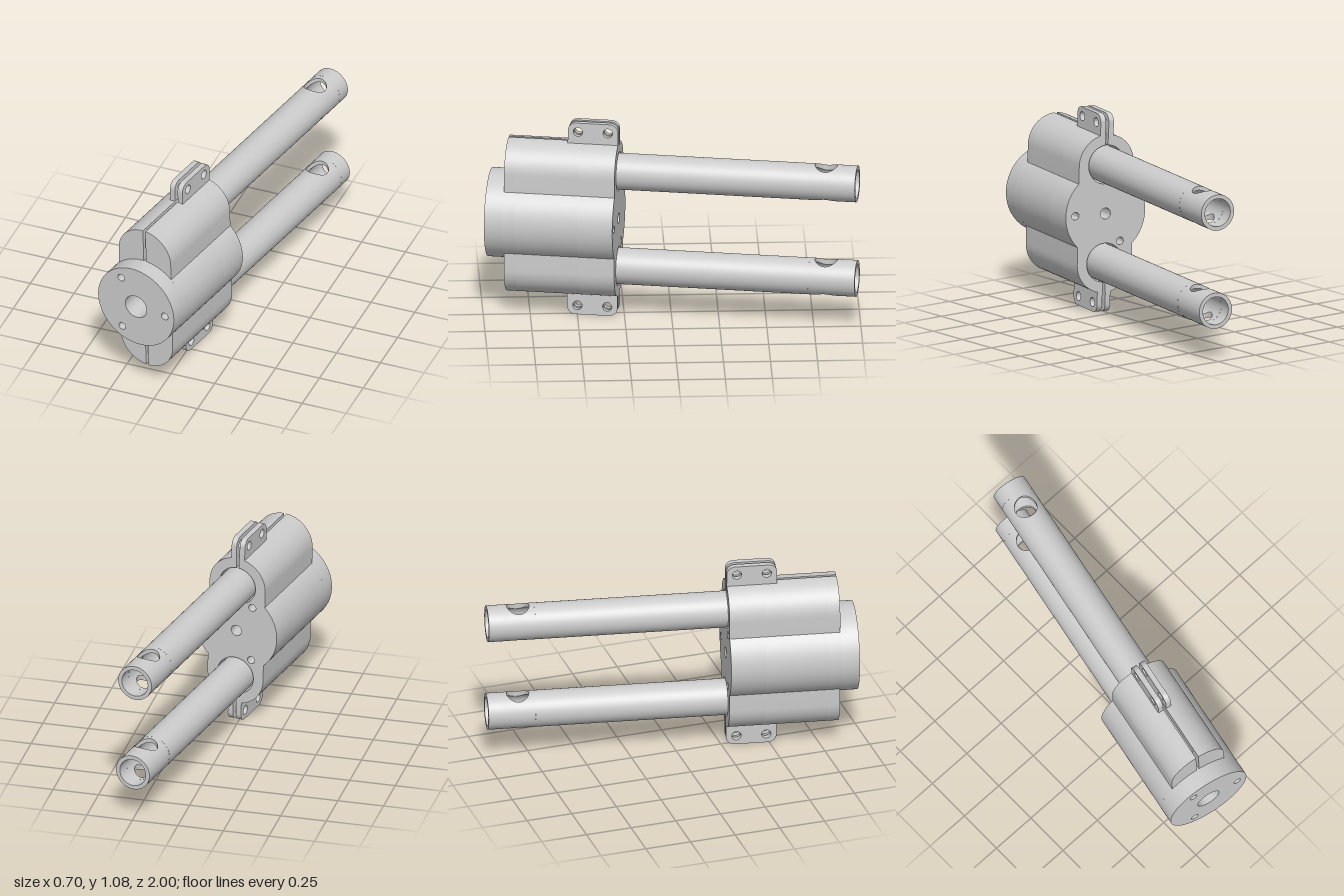
import * as THREE from 'three';
import { toCreasedNormals } from 'three/addons/utils/BufferGeometryUtils.js';
import { ParametricGeometry } from 'three/addons/geometries/ParametricGeometry.js';

const BODY_R = 0.2375, SLEEVE_R = 0.163, BORE_R = 0.106, OFFSET = 0.267, SLIT = 0.0075;
const TUBE_R = 0.098, TUBE_IN = 0.076, PIN_R = 0.06;
const Z_SLEEVE = -0.097, Z_BORE = -0.16, Z_STEP = -0.5, Z_BACK = -0.69;
const Z_PIN = -1.805, Z_END = -1.972, PIN_HALF = 0.085;

const grey = new THREE.MeshStandardMaterial({ color: 0xcccccc });
const thin = new THREE.MeshStandardMaterial({ color: 0xcccccc, side: THREE.DoubleSide });

function add(parent, name, geometry, material = grey) {
  const mesh = new THREE.Mesh(geometry, material);
  mesh.name = name;
  parent.add(mesh);
  return mesh;
}

function arc(cy, r, from, to, n) {
  return Array.from({ length: n + 1 }, (_, i) => {
    const a = from + ((to - from) * i) / n;
    return new THREE.Vector2(r * Math.cos(a), cy + r * Math.sin(a));
  });
}

function addHole(shape, x, y, r) {
  shape.holes.push(new THREE.Path().absarc(x, y, r, 0, Math.PI * 2, true));
}

// Centre hole and three screw holes
function drill(shape, centreR) {
  addHole(shape, 0, 0, centreR);
  for (let i = 0; i < 3; i++) {
    const a = (i * Math.PI * 2) / 3;
    addHole(shape, 0.18 * Math.cos(a), 0.18 * Math.sin(a), 0.021);
  }
  return shape;
}

// Round body joined to two split sleeves; the lower half is the upper one turned by 180 degrees
function housingShape(bored) {
  const b = Math.acos(SLEEVE_R / BODY_R), e = Math.asin(SLIT / SLEEVE_R), eb = Math.asin(SLIT / BORE_R);
  const q = Math.PI / 2;
  const cut = bored
    ? arc(OFFSET, BORE_R, q - eb, eb - 3 * q, 56)
    : [new THREE.Vector2(SLIT, 0.235), new THREE.Vector2(-SLIT, 0.235)];
  const half = [
    ...arc(0, BODY_R, -b, b, 20),
    ...arc(OFFSET, SLEEVE_R, 0, q - e, 18),
    ...cut,
    ...arc(OFFSET, SLEEVE_R, q + e, Math.PI, 18),
  ];
  return new THREE.Shape([...half, ...half.map((p) => p.clone().negate())]);
}

function slab(shape, zFront, zBack) {
  const g = new THREE.ExtrudeGeometry(shape, { depth: zFront - zBack, bevelEnabled: false, curveSegments: 32 });
  g.translate(0, 0, zBack);
  return toCreasedNormals(g, 0.5);
}

// Clamp ear with rounded outer corners and two bolt holes
function earGeometry() {
  const front = -0.42, top = 0.54, r = 0.045, depth = 0.03;
  const s = new THREE.Shape();
  s.moveTo(Z_BACK, 0.405);
  s.lineTo(front, 0.405);
  s.lineTo(front, top - r);
  s.absarc(front - r, top - r, r, 0, Math.PI / 2);
  s.lineTo(Z_BACK + r, top);
  s.absarc(Z_BACK + r, top - r, r, Math.PI / 2, Math.PI);
  s.closePath();
  for (const z of [-0.635, -0.475]) addHole(s, z, 0.49, 0.025);
  const g = new THREE.ExtrudeGeometry(s, { depth, bevelEnabled: false, curveSegments: 16 });
  g.rotateY(-Math.PI / 2).translate(depth / 2, 0, 0);
  return toCreasedNormals(g, 0.5);
}

// Half of a tube wall with a round cross hole through it
function piercedWall(r, side) {
  return new ParametricGeometry((u, v, p) => {
    const t = u * Math.PI * 2, c = Math.cos(t), s = Math.sin(t);
    const m = Math.max(Math.abs(c), Math.abs(s));
    const angle = THREE.MathUtils.lerp(Math.acos((PIN_R * c) / r), (Math.PI / 2) * (1 - c / m), v);
    const z = THREE.MathUtils.lerp(PIN_R * s, (PIN_HALF * s) / m, v);
    p.set(r * Math.cos(angle), side * r * Math.sin(angle), Z_PIN + z);
  }, 64, 10);
}

// Rim of the cross hole, between the inner and outer wall
function pinRim(side) {
  return new ParametricGeometry((u, v, p) => {
    const t = u * Math.PI * 2, x = PIN_R * Math.cos(t);
    const r = v < 0.5 ? TUBE_IN : TUBE_R;
    p.set(x, side * Math.sqrt(r * r - x * x), Z_PIN + PIN_R * Math.sin(t));
  }, 64, 1);
}

function makeTube() {
  const tube = new THREE.Group();
  const spans = [[Z_BORE - 0.002, Z_PIN + PIN_HALF], [Z_PIN - PIN_HALF, Z_END]];
  for (const r of [TUBE_R, TUBE_IN]) {
    for (const [z0, z1] of spans) {
      const g = new THREE.CylinderGeometry(r, r, z0 - z1, 64, 1, true);
      g.rotateX(Math.PI / 2).translate(0, 0, (z0 + z1) / 2);
      add(tube, 'tubeWall', g, thin);
    }
    for (const side of [1, -1]) add(tube, 'piercedTubeWall', piercedWall(r, side), thin);
  }
  for (const side of [1, -1]) add(tube, 'crossHoleRim', pinRim(side), thin);
  for (const z of [spans[0][0], Z_END]) {
    add(tube, 'tubeEndRing', new THREE.RingGeometry(TUBE_IN, TUBE_R, 64).translate(0, 0, z), thin);
  }
  return tube;
}

export function createModel() {
  const model = new THREE.Group();
  model.name = 'twinTubeClamp';

  // Everything is built along z from the front face, then turned into place
  const assembly = new THREE.Group();
  assembly.name = 'assembly';
  assembly.rotation.set(0, -0.186, 0.023, 'YXZ');
  assembly.position.set(-0.118, 0.54, 0.957);
  model.add(assembly);

  // Housing
  const disc = new THREE.Shape(arc(0, BODY_R, 0, Math.PI * 2, 80).slice(0, -1));
  add(assembly, 'bodyFront', slab(drill(disc, 0.067), 0, Z_SLEEVE));
  add(assembly, 'sleeveFrontWall', slab(drill(housingShape(false), 0.067), Z_SLEEVE, Z_BORE));
  add(assembly, 'housing', slab(drill(housingShape(true), 0.067), Z_BORE, Z_STEP));
  add(assembly, 'housingBack', slab(drill(housingShape(true), 0.03), Z_STEP, Z_BACK));

  // Clamp ears and tubes, above and below
  const ear = earGeometry();
  for (const [name, side] of [['upper', 1], ['lower', -1]]) {
    const ears = new THREE.Group();
    ears.name = name + 'ClampEars';
    ears.rotation.z = side > 0 ? 0 : Math.PI;
    for (const x of [-0.024, 0.024]) add(ears, 'clampEar', ear).position.x = x;
    const tube = makeTube();
    tube.name = name + 'Tube';
    tube.position.y = side * OFFSET;
    assembly.add(ears, tube);
  }
  return model;
}
